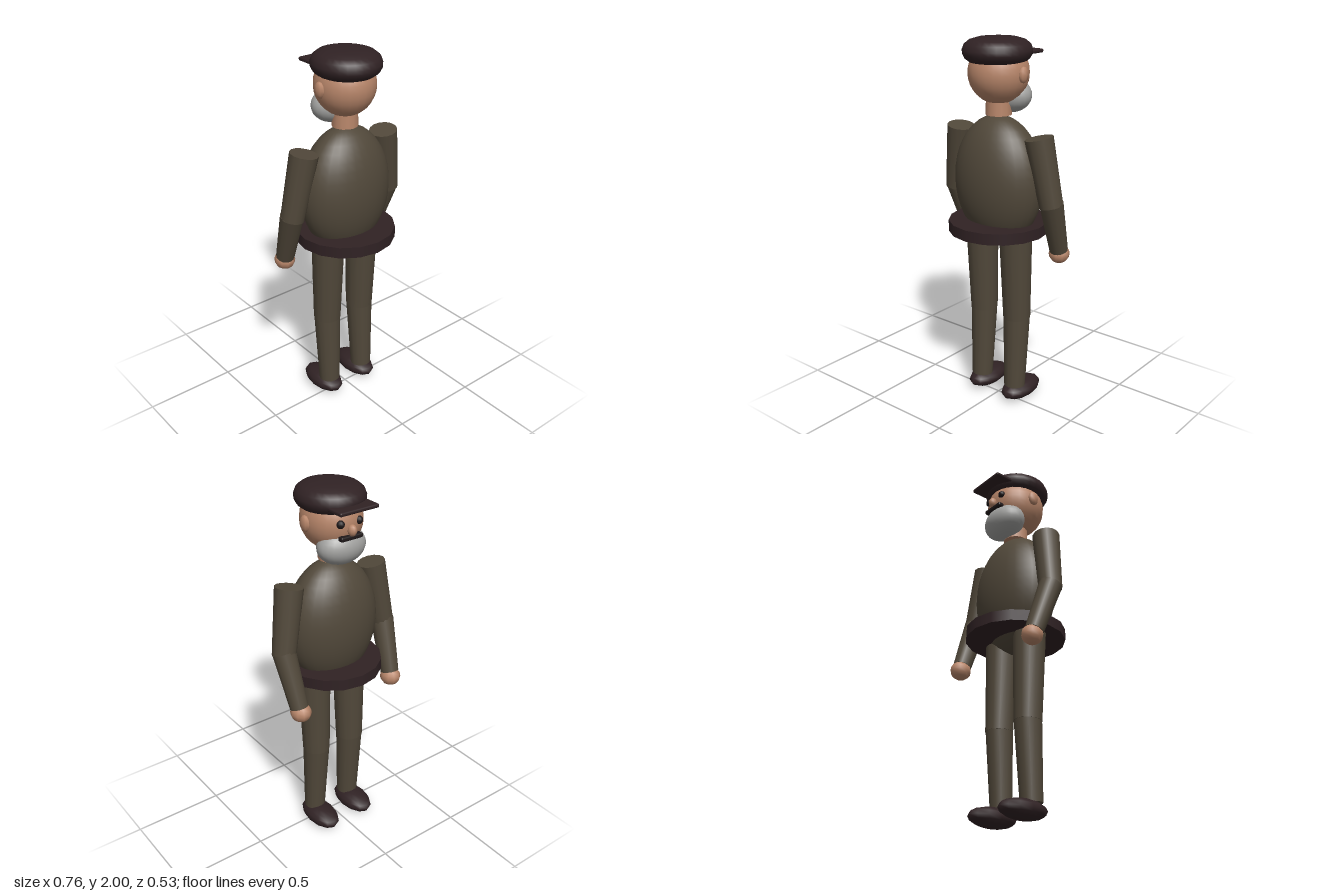
import * as THREE from 'three';
import { RoundedBoxGeometry } from 'three/addons/geometries/RoundedBoxGeometry.js';

const material = (name, color) => {
  const m = new THREE.MeshStandardMaterial({ color });
  m.name = name;
  return m;
};

export function createModel() {
  const model = new THREE.Group();
  model.name = 'manInFlatCap';

  const cloth = material('brownCloth', 0x51483a);
  const leather = material('darkLeather', 0x302224);
  const skin = material('skin', 0xb8866a);
  const grey = material('greyBeard', 0xa3a3a1);
  const black = material('darkFeatures', 0x1f1819);

  const add = (name, geometry, mat, parent = model) => {
    const mesh = new THREE.Mesh(geometry, mat);
    mesh.name = name;
    parent.add(mesh);
    return mesh;
  };

  // Ellipsoid from a centre and three radii
  const ball = (name, mat, centre, radii, w = 24, h = 16, parent = model) => {
    const g = new THREE.SphereGeometry(1, w, h);
    g.scale(...radii);
    g.translate(...centre);
    return add(name, g, mat, parent);
  };

  // Tapered limb between two points
  const limb = (name, mat, top, bottom, rTop, rBottom, parent) => {
    const a = new THREE.Vector3(...top);
    const b = new THREE.Vector3(...bottom);
    const axis = a.clone().sub(b);
    const mesh = add(name, new THREE.CylinderGeometry(rTop, rBottom, axis.length(), 14), mat, parent);
    mesh.position.copy(a).add(b).multiplyScalar(0.5);
    mesh.quaternion.setFromUnitVectors(new THREE.Vector3(0, 1, 0), axis.normalize());
    return mesh;
  };

  // Torso and wide belt
  ball('torso', cloth, [0, 1.26, 0], [0.262, 0.345, 0.18], 28, 20);
  const belt = add('belt', new THREE.CylinderGeometry(0.267, 0.267, 0.06, 16), leather);
  belt.position.y = 1.015;

  // Neck and head
  limb('neck', skin, [0, 1.7, 0], [0, 1.605, 0], 0.065, 0.068, model);
  ball('head', skin, [0, 1.82, 0], [0.157, 0.16, 0.16]);

  // Face, looking towards -z
  ball('beard', grey, [0, 1.7, -0.08], [0.135, 0.095, 0.095]);
  ball('nose', skin, [0, 1.8, -0.165], [0.023, 0.03, 0.026], 10, 8);
  const moustache = add('moustache', new RoundedBoxGeometry(0.13, 0.024, 0.034, 2, 0.008), black);
  moustache.position.set(0, 1.764, -0.154);

  // Flat cap with a stiff peak
  const capProfile = [
    [0, 1.875], [0.14, 1.875], [0.162, 1.892], [0.174, 1.915], [0.175, 1.935],
    [0.165, 1.962], [0.14, 1.982], [0.1, 1.994], [0.05, 1.999], [0, 2],
  ].map(([r, y]) => new THREE.Vector2(r, y));
  const cap = add('cap', new THREE.LatheGeometry(capProfile, 28), leather);
  cap.scale.z = 1.05;
  cap.position.z = 0.01;
  const peak = add('capPeak', new RoundedBoxGeometry(0.23, 0.02, 0.15, 2, 0.008), leather);
  peak.position.set(0, 1.915, -0.15);

  // Mirrored parts
  for (const s of [1, -1]) {
    const side = s > 0 ? 'left' : 'right';
    ball(side + 'Ear', skin, [s * 0.157, 1.82, 0], [0.02, 0.042, 0.034], 8, 6);
    ball(side + 'Eye', black, [s * 0.055, 1.835, -0.145], [0.021, 0.021, 0.021], 10, 8);

    const arm = new THREE.Group();
    arm.name = side + 'Arm';
    limb('upperArm', cloth, [s * 0.258, 1.517, 0], [s * 0.32, 1.165, -0.03], 0.074, 0.062, arm);
    limb('forearm', cloth, [s * 0.32, 1.185, -0.03], [s * 0.303, 0.9, -0.13], 0.062, 0.049, arm);
    ball('hand', skin, [s * 0.3, 0.875, -0.14], [0.055, 0.052, 0.058], 10, 8, arm);

    const leg = new THREE.Group();
    leg.name = side + 'Leg';
    limb('thigh', cloth, [s * 0.115, 0.99, 0], [s * 0.115, 0.5, -0.015], 0.088, 0.074, leg);
    limb('shin', cloth, [s * 0.115, 0.52, -0.015], [s * 0.117, 0.09, 0.003], 0.073, 0.058, leg);
    ball('shoe', leather, [s * 0.118, 0.052, -0.052], [0.08, 0.052, 0.143], 12, 8, leg);

    model.add(arm, leg);
  }
  return model;
}
